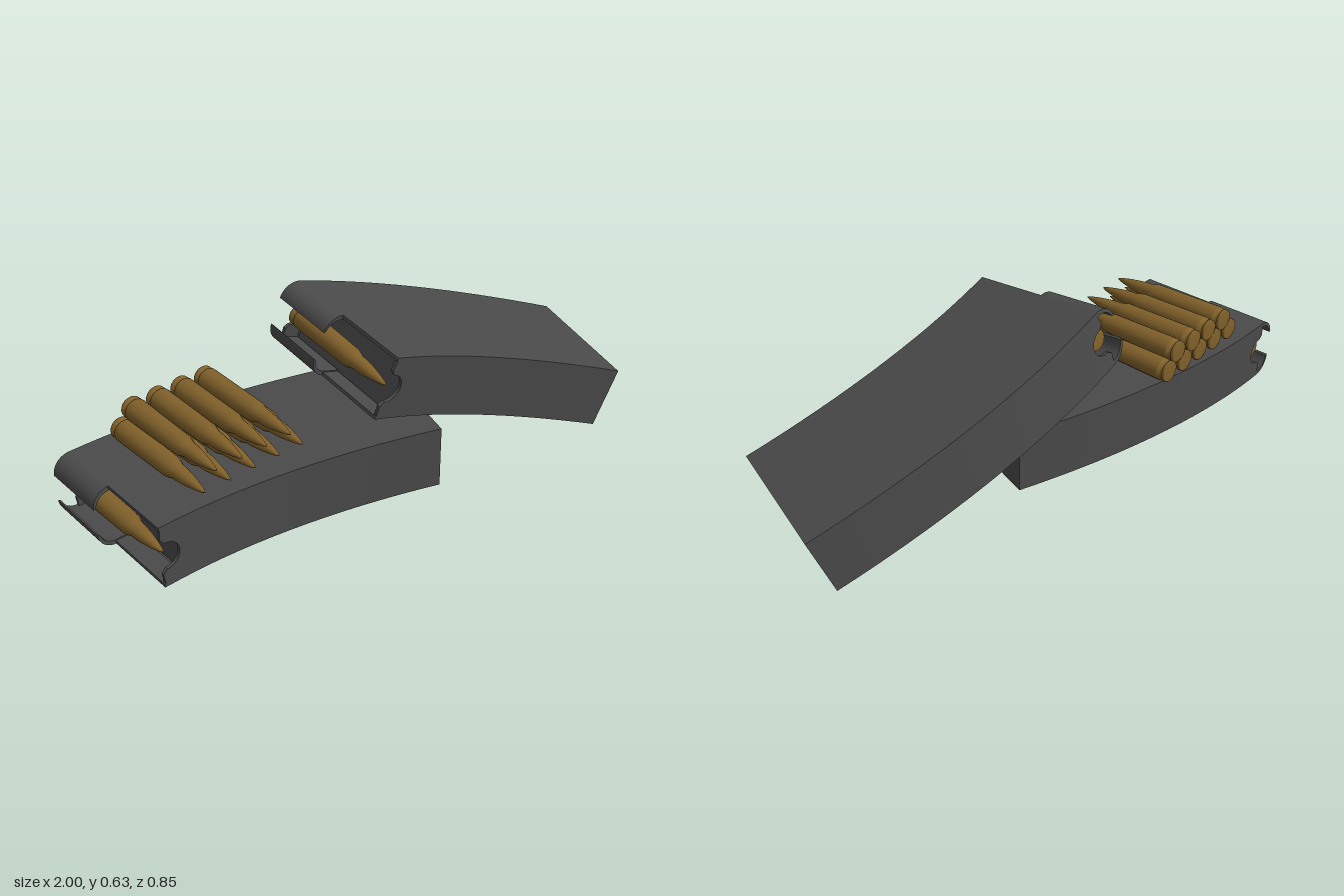
import * as THREE from 'three';

const steel = new THREE.MeshStandardMaterial({ color: 0x4a4a4a, side: THREE.DoubleSide });
steel.name = 'dark steel';
const brass = new THREE.MeshStandardMaterial({ color: 0x80602a });
brass.name = 'brass';

const TOP = 0.255, BOTTOM = 0.025, MID = 0.14, NECK = -0.87;

function add(parent, name, geometry, material, x = 0, y = 0, z = 0) {
  const mesh = new THREE.Mesh(geometry, material);
  mesh.name = name;
  mesh.position.set(x, y, z);
  parent.add(mesh);
  return mesh;
}

// Cartridge lying along z: rim, groove, tapered case, shoulder, neck, pointed tip
const cartridgeGeometry = new THREE.LatheGeometry([
  [0, 0], [0.036, 0], [0.039, 0.003], [0.039, 0.012], [0.033, 0.015], [0.033, 0.023],
  [0.041, 0.03], [0.041, 0.034], [0.036, 0.3], [0.027, 0.33], [0.026, 0.355],
  [0.022, 0.39], [0.015, 0.43], [0.007, 0.465], [0, 0.48],
].map(([r, y]) => new THREE.Vector2(r, y)), 20).rotateX(Math.PI / 2);

// Curved box body, open at the neck and capped at the far end
function bodyGeometry() {
  const steps = 14, positions = [], index = [];
  const corners = (t) => {
    const bend = Math.pow(t, 1.8);
    const bx = NECK + 1.07 * t, bz = -0.425 + 0.225 * bend;
    const fx = NECK + 0.92 * t, fz = 0.1 + 0.19 * bend;
    return [[bx, TOP, bz], [fx, TOP, fz], [fx, BOTTOM, fz], [bx, BOTTOM, bz]];
  };
  for (let side = 0; side < 4; side++) {
    const start = positions.length / 3;
    for (let i = 0; i <= steps; i++) {
      const c = corners(i / steps);
      positions.push(...c[side], ...c[(side + 1) % 4]);
      if (i < steps) {
        const a = start + i * 2;
        index.push(a, a + 1, a + 2, a + 1, a + 3, a + 2);
      }
    }
  }
  const cap = positions.length / 3;
  positions.push(...corners(1).flat());
  index.push(cap, cap + 1, cap + 2, cap, cap + 2, cap + 3);
  const g = new THREE.BufferGeometry();
  g.setAttribute('position', new THREE.Float32BufferAttribute(positions, 3));
  g.setIndex(index);
  g.computeVertexNormals();
  return g;
}

// Side wall of the neck with a round notch in its open edge
function notchedWall() {
  const s = new THREE.Shape();
  s.moveTo(NECK, BOTTOM);
  s.lineTo(-0.935, BOTTOM);
  s.lineTo(-0.94, 0.075);
  s.lineTo(-0.925, 0.09);
  s.absarc(-0.925, MID, 0.05, -Math.PI / 2, Math.PI / 2, false);
  s.lineTo(-0.94, 0.205);
  s.lineTo(-0.935, TOP);
  s.lineTo(NECK, TOP);
  return new THREE.ExtrudeGeometry(s, { depth: 0.012, bevelEnabled: false, curveSegments: 14 });
}

// Curled feed lip, thinning toward its free edge
function feedLip() {
  const s = new THREE.Shape();
  s.moveTo(NECK, TOP);
  s.lineTo(-0.935, TOP);
  s.absarc(-0.935, TOP - 0.065, 0.065, Math.PI / 2, Math.PI, false);
  s.lineTo(-0.992, 0.194);
  s.quadraticCurveTo(-0.98, 0.237, -0.935, 0.239);
  s.lineTo(NECK, 0.239);
  return new THREE.ExtrudeGeometry(s, { depth: 0.245, bevelEnabled: false, curveSegments: 12 });
}

function magazine(name) {
  const g = new THREE.Group();
  g.name = name;
  add(g, 'curvedBody', bodyGeometry(), steel);
  add(g, 'frontNeckWall', notchedWall(), steel, 0, 0, 0.088);
  add(g, 'backNeckWall', notchedWall(), steel, 0, 0, -0.425);
  add(g, 'upperFeedLip', feedLip(), steel, 0, 0, -0.425);
  // Half turn about x mirrors the upper lip to the lower side
  add(g, 'lowerFeedLip', feedLip(), steel, 0, 2 * MID, -0.18).rotation.x = Math.PI;
  for (const y of [TOP - 0.006, BOTTOM + 0.006]) {
    add(g, 'neckPlate', new THREE.BoxGeometry(0.07, 0.012, 0.28), steel, -0.905, y, -0.04);
  }
  add(g, 'follower', new THREE.BoxGeometry(0.02, 0.22, 0.51), steel, -0.85, MID, -0.162);
  add(g, 'loadedCartridge', cartridgeGeometry, brass, -0.92, MID, -0.4);
  return g;
}

export function createModel() {
  const model = new THREE.Group();
  model.name = 'magazinesAndCartridges';

  model.add(magazine('lyingMagazine'));

  // Second magazine leans on the first
  const leaning = magazine('leaningMagazine');
  const basis = new THREE.Matrix4().makeBasis(
    new THREE.Vector3(0.945, -0.32, 0).normalize(),
    new THREE.Vector3(0.317, 0.936, 0.137).normalize(),
    new THREE.Vector3(-0.044, -0.13, 0.99).normalize());
  leaning.quaternion.setFromRotationMatrix(basis);
  leaning.position.set(0.716, 0.034, 0.098);
  model.add(leaning);

  // Two staggered rows of loose cartridges
  const stack = new THREE.Group();
  stack.name = 'cartridgeStack';
  for (let i = 0; i < 5; i++) {
    add(stack, 'lowerCartridge', cartridgeGeometry, brass, -0.763 + i * 0.095, 0.293, -0.385);
    if (i < 4) add(stack, 'upperCartridge', cartridgeGeometry, brass, -0.715 + i * 0.095, 0.352, -0.385);
  }
  model.add(stack);
  return model;
}
